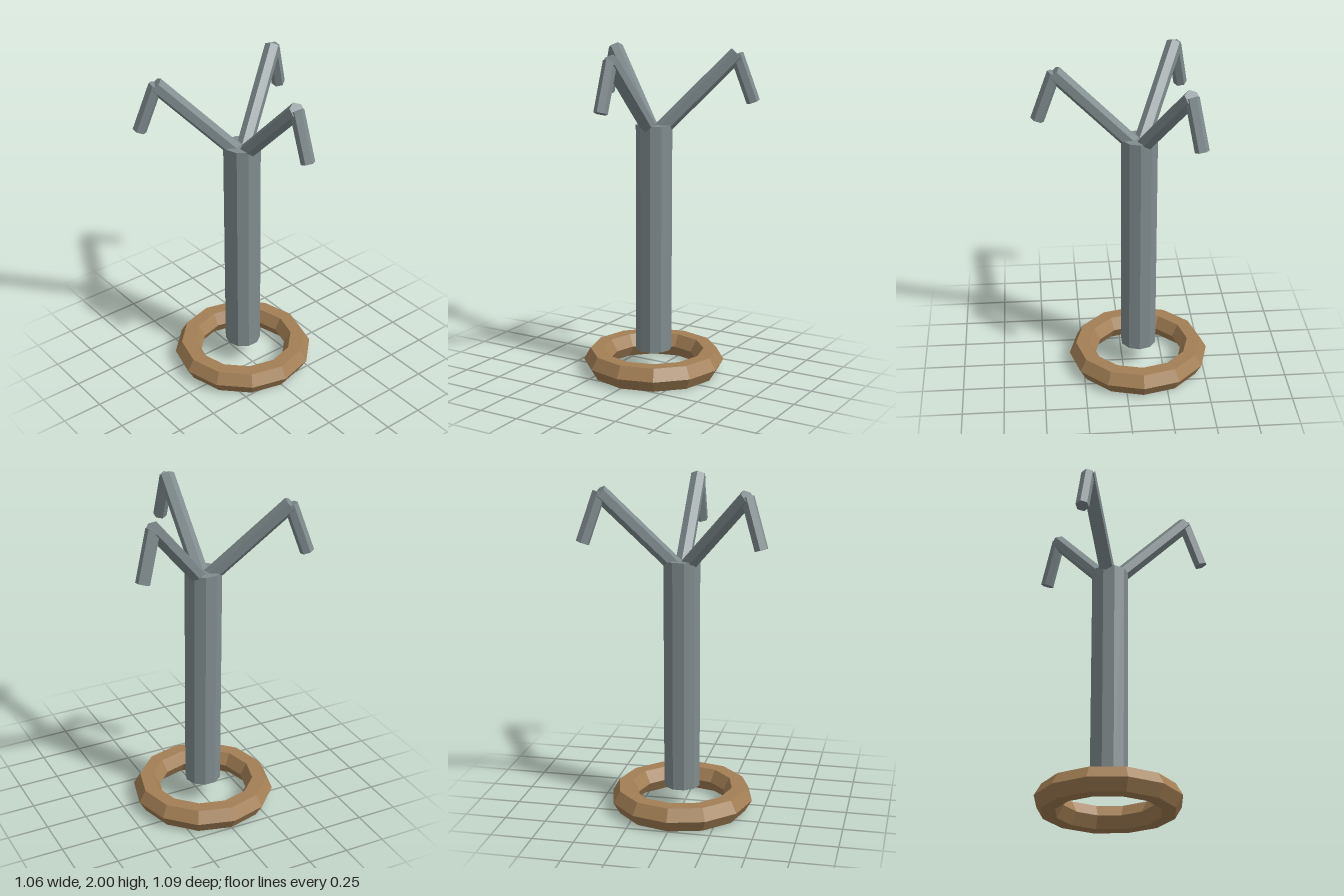
import * as THREE from 'three';

export function createModel() {
  const metal = new THREE.MeshStandardMaterial({ color: 0x808c8e, flatShading: true });
  metal.name = 'grey metal';
  const wood = new THREE.MeshStandardMaterial({ color: 0xa37f55, flatShading: true });
  wood.name = 'brown wood';

  const model = new THREE.Group();
  model.name = 'hookStand';

  const add = (parent, name, geometry, material) => {
    const mesh = new THREE.Mesh(geometry, material);
    mesh.name = name;
    parent.add(mesh);
    return mesh;
  };

  // Six-sided rod between two points [radius, height] in the arm's plane
  const rod = (parent, name, [x0, y0], [x1, y1], radius) => {
    const length = Math.hypot(x1 - x0, y1 - y0);
    const geometry = new THREE.CylinderGeometry(radius, radius, length, 6, 1, false, Math.PI / 2);
    const mesh = add(parent, name, geometry, metal);
    mesh.position.set((x0 + x1) / 2, (y0 + y1) / 2, 0);
    mesh.rotation.z = Math.atan2(y1 - y0, x1 - x0) - Math.PI / 2;
  };

  // Everything is arranged around the pole's axis
  const stand = new THREE.Group();
  stand.name = 'stand';
  stand.position.x = -0.1;
  model.add(stand);

  // Ring lying on the ground
  const ring = new THREE.TorusGeometry(0.351, 0.083, 6, 12).rotateX(Math.PI / 2);
  add(stand, 'baseRing', ring, wood).position.y = 0.072;

  // Pole, starting level with the top of the ring
  const pole = new THREE.CylinderGeometry(0.11, 0.11, 1.4, 10);
  add(stand, 'pole', pole, metal).position.y = 0.845;

  // Three rising arms, each with a drooping tip
  for (let i = 0; i < 3; i++) {
    const branch = new THREE.Group();
    branch.name = 'branch' + (i + 1);
    branch.rotation.y = (i * Math.PI * 2) / 3;
    rod(branch, 'arm', [0.034, 1.507], [0.49, 1.965], 0.048);
    rod(branch, 'hook', [0.487, 1.963], [0.59, 1.681], 0.041);
    stand.add(branch);
  }
  return model;
}
